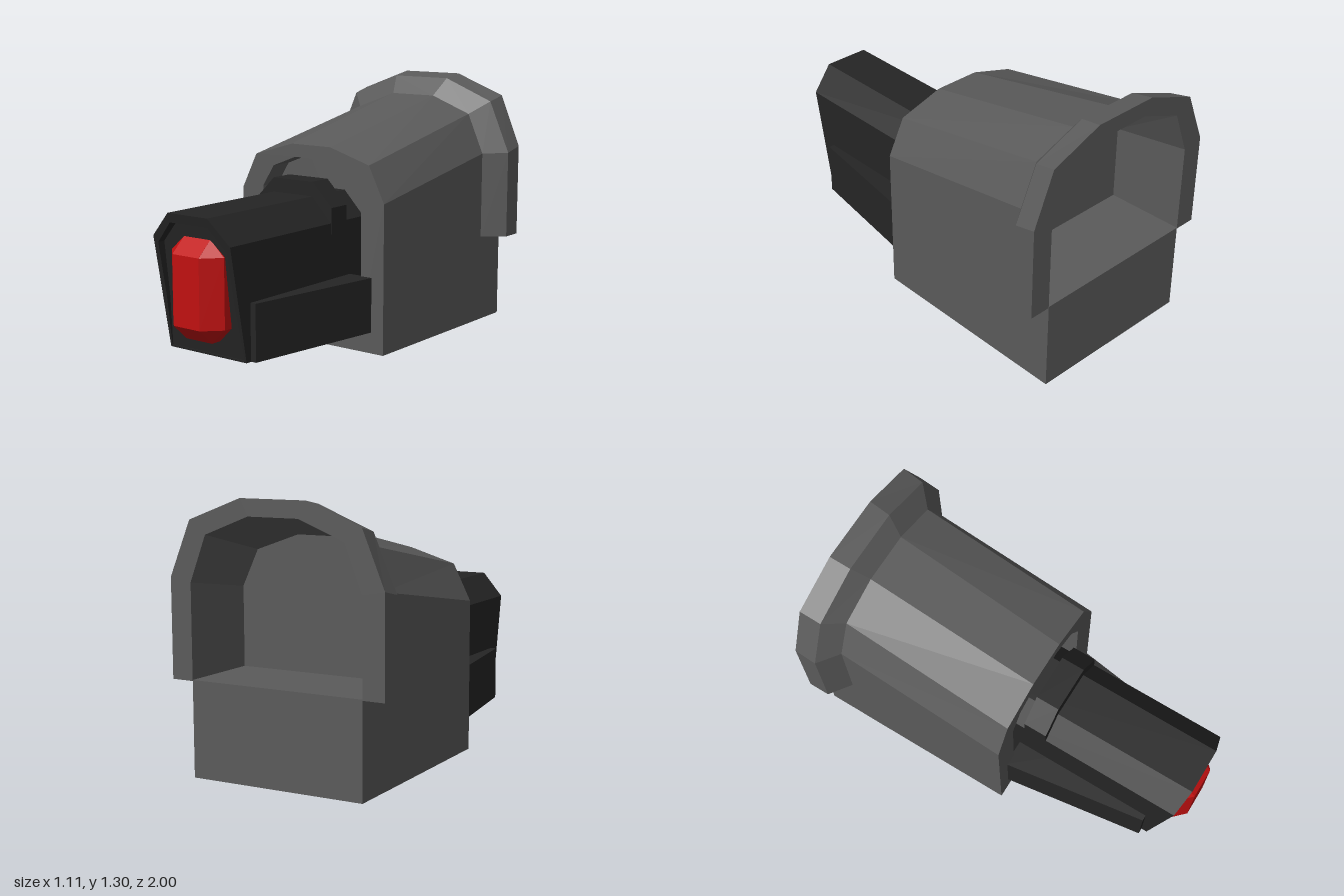
import * as THREE from 'three';

const bodyGrey = new THREE.MeshStandardMaterial({ color: 0x5a5a5a });
const barrelBlack = new THREE.MeshStandardMaterial({ color: 0x252525 });
const lensRed = new THREE.MeshStandardMaterial({ color: 0xc01010 });

// Symmetric cross-section from its +x half, listed bottom to top; z is a number or a rule of y
function ring(z, half) {
  const at = (x, y) => new THREE.Vector3(x, y, typeof z === 'function' ? z(y) : z);
  return [
    ...half.map(([x, y]) => at(x, y)),
    ...half.slice().reverse().map(([x, y]) => at(-x, y)),
  ];
}

// Faceted skin through cross-sections running from front to back
function loft(rings, { closed = true, capFirst = true, capLast = true } = {}) {
  const pts = [];
  const n = rings[0].length;
  for (let r = 0; r + 1 < rings.length; r++) {
    for (let i = 0; i < (closed ? n : n - 1); i++) {
      const j = (i + 1) % n;
      const a = rings[r][i], b = rings[r][j], c = rings[r + 1][j], d = rings[r + 1][i];
      pts.push(a, d, c, a, c, b);
    }
  }
  const first = rings[0], last = rings[rings.length - 1];
  for (let i = 1; i + 1 < n; i++) {
    if (capFirst) pts.push(first[0], first[i], first[i + 1]);
    if (capLast) pts.push(last[0], last[i + 1], last[i]);
  }
  const geometry = new THREE.BufferGeometry().setFromPoints(pts);
  geometry.computeVertexNormals();
  return geometry;
}

export function createModel() {
  const model = new THREE.Group();
  const add = (name, geometry, material) => {
    const mesh = new THREE.Mesh(geometry, material);
    mesh.name = name;
    model.add(mesh);
    return mesh;
  };

  // Housing with a shallow recess around the barrel and a rising roof
  const opening = [[0.31, 0.12], [0.31, 0.77], [0.24, 0.88], [0.1, 0.935]];
  const roofBack = [[0.445, 0.9], [0.355, 1.105], [0.13, 1.19]];
  add('housing', loft([
    ring(-0.03, opening),
    ring(0.09, opening),
    ring(0.09, [[0.445, 0], [0.445, 0.75], [0.355, 0.93], [0.12, 1]]),
    ring(-0.81, [[0.445, 0], ...roofBack]),
  ], { capLast: false }), bodyGrey);

  // Solid rear base whose top is the floor of the rear recess
  const base = new THREE.BoxGeometry(0.889, 0.46, 0.4);
  base.translate(0, 0.23, -0.8);
  add('rearBase', base, bodyGrey);

  // Flared rear hood, turning inward into the rear recess
  const low = 0.455;
  add('rearHood', loft([
    ring(-0.81, [[0.445, low], ...roofBack]),
    ring(-0.89, [[0.555, low], [0.555, 0.905], [0.44, 1.17], [0.165, 1.28]]),
    ring(-1, [[0.555, low], [0.555, 0.93], [0.445, 1.195], [0.17, 1.3]]),
    ring(-1, [[0.445, low], [0.445, 0.91], [0.36, 1.13], [0.13, 1.22]]),
    ring(-0.6, [[0.43, low], [0.43, 0.85], [0.345, 1.03], [0.12, 1.11]]),
  ], { closed: false, capFirst: false }), bodyGrey);

  // Undersides of the hood's two ends
  for (const side of [1, -1]) {
    const edge = [[0.445, -0.81], [0.445, -1], [0.555, -1], [0.555, -0.89]]
      .map(([x, z]) => new THREE.Vector3(side * x, low, z));
    if (side > 0) edge.reverse();
    const [a, b, c, d] = edge;
    const under = new THREE.BufferGeometry().setFromPoints([a, b, c, a, c, d]);
    under.computeVertexNormals();
    const mesh = add(side > 0 ? 'hoodUndersideLeft' : 'hoodUndersideRight', under, bodyGrey);
    mesh.material = hoodUnder;
  }

  // Barrel with a sloping, slightly sunken front
  const slope = (y) => 0.86 + (y - 0.105) * 0.187;
  const sunken = (y) => 0.855 + (y - 0.105) * 0.12;
  const outline = [[0.235, 0.105], [0.235, 0.655], [0.12, 0.775]];
  const inset = [[0.225, 0.115], [0.21, 0.36], [0.21, 0.625], [0.115, 0.73]];
  const outer = [outline[0], [0.235, 0.36], outline[1], outline[2]];
  add('barrel', loft([
    ring(sunken, inset),
    ring(slope, inset),
    ring(slope, outer),
    ring(-0.03, outer),
  ]), barrelBlack);

  // Raised collar on the barrel
  const collar = [[0.237, 0.6], [0.237, 0.73], [0.12, 0.847]];
  add('collar', loft([ring(0.233, collar), ring(0.11, collar)]), barrelBlack);

  // Tapered side fins, joined under the barrel
  add('sideFins', loft([
    ring(0.83, [[0.265, 0.106], [0.265, 0.38]]),
    ring(0.08, [[0.375, 0.106], [0.375, 0.38]]),
  ]), barrelBlack);

  // Faceted lens
  const lens = [[0.08, 0.183], [0.16, 0.258], [0.16, 0.592], [0.08, 0.665]];
  add('lens', loft([
    ring(1, [[0.08, 0.258], [0.08, 0.259], [0.08, 0.591], [0.08, 0.592]]),
    ring(0.92, lens),
    ring(0.84, lens),
  ]), lensRed);

  return model;
}

// Same grey for the thin underside faces
const hoodUnder = bodyGrey;
bodyGrey.side = THREE.DoubleSide;
